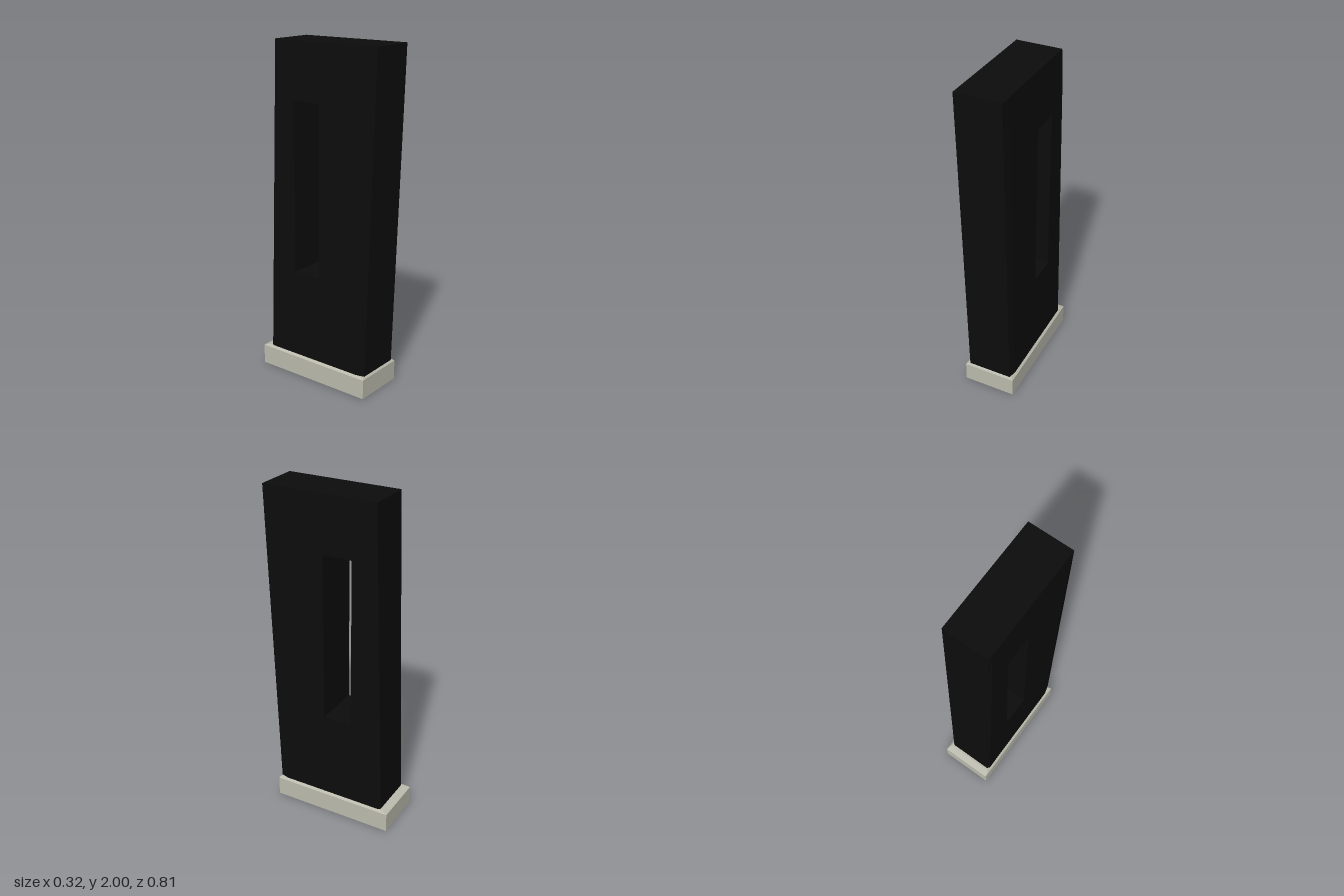
import * as THREE from 'three';

const CX = -0.003; // slight sideways offset of the whole piece

// Closed solid through horizontal sections of equal point count: { y, pts: [[x, z], ...] }
function loft(sections) {
  const pos = [];
  const put = (s, i) => pos.push(s.pts[i][0] + CX, s.y, s.pts[i][1]);
  const n = sections[0].pts.length;
  for (let k = 0; k < sections.length - 1; k++) {
    const a = sections[k], b = sections[k + 1];
    for (let i = 0; i < n; i++) {
      const j = (i + 1) % n;
      put(a, i); put(a, j); put(b, j);
      put(a, i); put(b, j); put(b, i);
    }
  }
  const bottom = sections[0], top = sections[sections.length - 1];
  for (let i = 1; i < n - 1; i++) {
    put(top, 0); put(top, i); put(top, i + 1);
    put(bottom, 0); put(bottom, i + 1); put(bottom, i);
  }
  const g = new THREE.BufferGeometry();
  g.setAttribute('position', new THREE.Float32BufferAttribute(pos, 3));
  g.computeVertexNormals();
  return g;
}

const rect = (y, w, front, back) => ({ y, pts: [[w, front], [w, back], [-w, back], [-w, front]] });

// Body section; front and back corners are cut only where the section reaches the outside
const frontAt = (y) => 0.345 + 0.06 * (y - 0.12) / 1.88;
const backAt = (y) => -0.353 + 0.066 * (y - 0.12) / 1.88;
function bodySection(y, { w = 0.147, inset = 0.012, front = null, back = null } = {}) {
  const f = front ?? frontAt(y), b = back ?? backAt(y);
  const half = [];
  if (front === null) half.push([w - inset, f], [w, f - 0.05]);
  else half.push([w, f]);
  if (back === null) half.push([w, b + 0.015], [w - inset, b]);
  else half.push([w, b]);
  return { y, pts: [...half, ...half.slice().reverse().map(([x, z]) => [-x, z])] };
}

export function createModel() {
  const model = new THREE.Group();
  const black = new THREE.MeshStandardMaterial({ color: 0x0c0c0c });
  black.name = 'black';
  const stone = new THREE.MeshStandardMaterial({ color: 0xbbbaad });
  stone.name = 'pale grey';

  const add = (parent, name, sections, material) => {
    const mesh = new THREE.Mesh(loft(sections), material);
    mesh.name = name;
    parent.add(mesh);
  };

  // Base plate with a shallow sloping upper rim
  add(model, 'basePlate', [
    rect(0, 0.16, 0.355, -0.403),
    rect(0.118, 0.16, 0.355, -0.403),
    rect(0.13, 0.148, 0.345, -0.365),
  ], stone);

  // Leaning body, with a slot open from side to side
  const body = new THREE.Group();
  body.name = 'body';
  model.add(body);
  const slotLow = 0.66, slotHigh = 1.67, slotFront = 0.027, slotBack = -0.15;
  add(body, 'lowerBody', [bodySection(0.12), bodySection(slotLow)], black);
  add(body, 'frontColumn', [slotLow, slotHigh].map((y) => bodySection(y, { back: slotFront })), black);
  add(body, 'backColumn', [slotLow, slotHigh].map((y) => bodySection(y, { front: slotBack })), black);
  add(body, 'taperedTop', [
    bodySection(slotHigh),
    bodySection(1.79),
    bodySection(2, { w: 0.135, inset: 0 }),
  ], black);

  return model;
}
